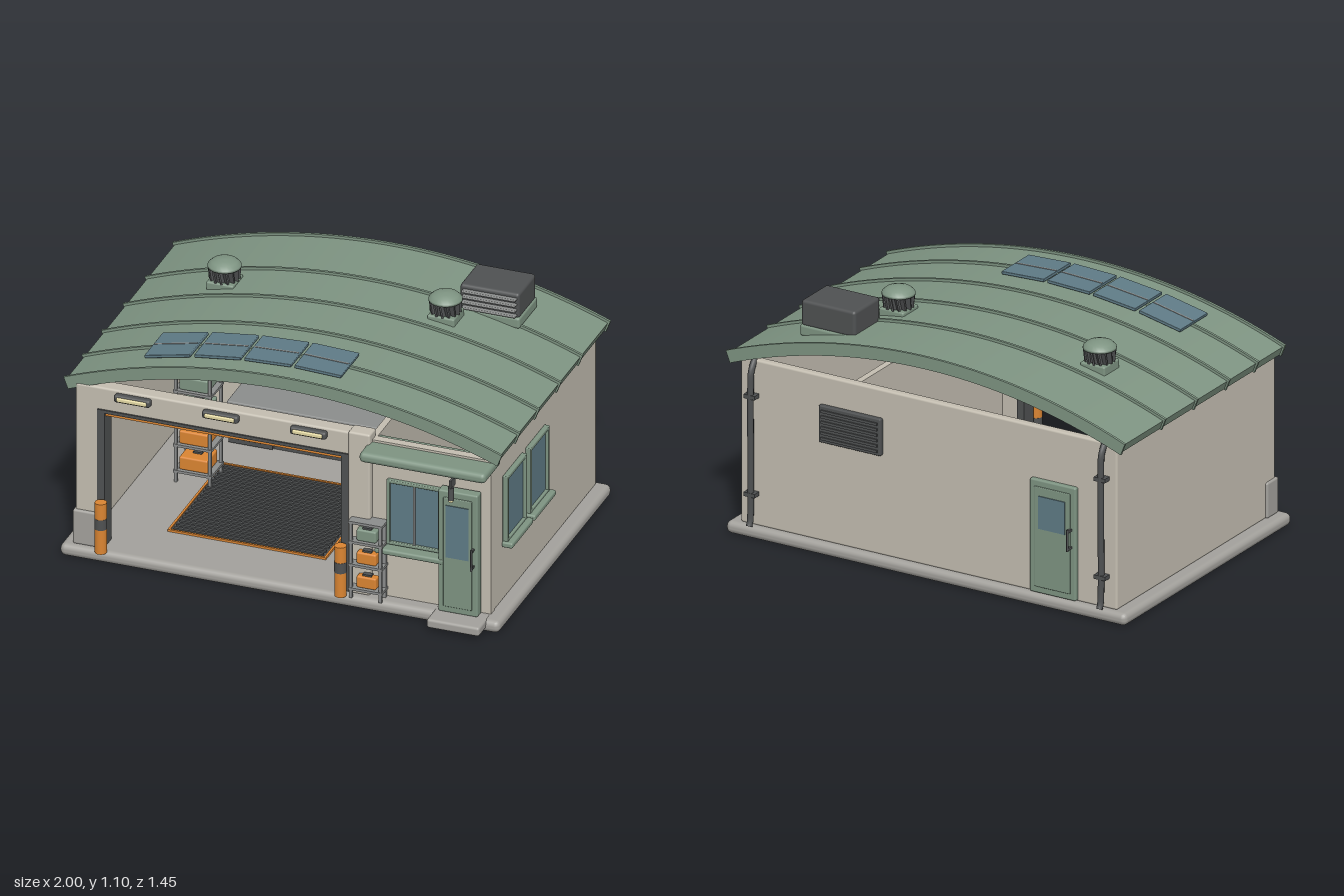
import * as THREE from 'three';
import { RoundedBoxGeometry } from 'three/addons/geometries/RoundedBoxGeometry.js';
import { toCreasedNormals } from 'three/addons/utils/BufferGeometryUtils.js';

const mat = (color) => new THREE.MeshStandardMaterial({ color });
const WALL = mat(0xc4beb1), GREEN = mat(0x7e9482), DARK = mat(0x4f5152), ORANGE = mat(0xdb8532),
  GLASS = mat(0x5f7b86), GREY = mat(0xa3a19c), STEEL = mat(0x8b8d8c), LAMP = mat(0xe6dba6);
const R = 2.74, TOP = 1.02;
const roofY = (x) => TOP - R + Math.sqrt(R * R - x * x);

export function createModel() {
  const root = new THREE.Group();
  const add = (name, geo, m, x = 0, y = 0, z = 0, parent = root) => {
    const o = new THREE.Mesh(geo, m);
    o.name = name;
    o.position.set(x, y, z);
    parent.add(o);
    return o;
  };
  const group = (name, x = 0, y = 0, z = 0) => {
    const g = new THREE.Group();
    g.name = name;
    g.position.set(x, y, z);
    root.add(g);
    return g;
  };
  // Box from its limits, rounded when r > 0
  const box = (name, m, x0, x1, y0, y1, z0, z1, r = 0, parent = root) => {
    const s = [x1 - x0, y1 - y0, z1 - z0];
    const geo = r ? new RoundedBoxGeometry(...s, 2, r) : new THREE.BoxGeometry(...s);
    return add(name, geo, m, (x0 + x1) / 2, (y0 + y1) / 2, (z0 + z1) / 2, parent);
  };
  const rod = (name, m, r, h, x, y, z, parent = root, n = 16) =>
    add(name, new THREE.CylinderGeometry(r, r, h, n), m, x, y, z, parent);

  // Base and walls
  box('baseSlab', GREY, -1, 1, 0.005, 0.062, -0.71, 0.64, 0.025);
  box('doorStep', GREY, 0.7, 0.94, 0.022, 0.065, 0.58, 0.72, 0.012);
  for (const s of [-1, 1]) {
    const [a, b] = s < 0 ? [-0.94, -0.9] : [0.9, 0.94];
    box('sideWall', WALL, a, b, 0.06, 0.81, -0.68, 0.57, 0.01);
  }
  box('backWall', WALL, -0.94, 0.94, 0.06, 0.82, -0.68, -0.64, 0.01);
  box('officePartition', WALL, 0.38, 0.41, 0.06, 0.8, -0.65, 0.57);

  // Garage front
  box('leftPier', WALL, -0.94, -0.83, 0.06, 0.83, 0.53, 0.6, 0.01);
  box('leftPierBase', GREY, -0.95, -0.83, 0.06, 0.225, 0.52, 0.612, 0.01);
  box('rightPier', WALL, 0.3, 0.4, 0.06, 0.835, 0.53, 0.605, 0.01);
  box('lintel', WALL, -0.94, 0.4, 0.72, 0.83, 0.53, 0.6, 0.01);
  for (const x of [-0.825, 0.285]) box('doorTrack', DARK, x - 0.017, x + 0.017, 0.06, 0.72, 0.52, 0.6);
  box('doorTrackHead', DARK, -0.84, 0.3, 0.71, 0.725, 0.53, 0.605);
  box('doorEdge', ORANGE, -0.81, 0.27, 0.692, 0.71, 0.54, 0.59);
  for (const x of [-0.675, -0.275, 0.125]) {
    box('lightHousing', DARK, x - 0.083, x + 0.083, 0.784, 0.82, 0.595, 0.63, 0.012);
    box('lightLens', LAMP, x - 0.068, x + 0.068, 0.792, 0.812, 0.62, 0.637, 0.006);
  }
  for (const x of [-0.81, 0.28]) {
    const g = group('bollard', x, 0.06, 0.64);
    rod('bollardPost', ORANGE, 0.026, 0.24, 0, 0.12, 0, g, 20);
    rod('bollardBand', DARK, 0.027, 0.05, 0, 0.14, 0, g, 20);
  }

  // Office front
  const wallShape = new THREE.Shape([[0.39, 0.06], [0.94, 0.06], [0.94, 0.8], [0.39, 0.8]].map((p) => new THREE.Vector2(...p)));
  wallShape.holes.push(new THREE.Path([[0.49, 0.34], [0.49, 0.61], [0.7, 0.61], [0.7, 0.34]].map((p) => new THREE.Vector2(...p))));
  add('officeFrontWall', new THREE.ExtrudeGeometry(wallShape, { depth: 0.04, bevelEnabled: false }), WALL, 0, 0, 0.535);
  box('canopy', GREEN, 0.38, 0.955, 0.742, 0.79, 0.49, 0.69, 0.02);

  // Framed pane in the local xy plane, facing +z
  const framed = (name, g, w, h, t = 0.02, bars = 0) => {
    box(name + 'Glass', GLASS, -w / 2 + 0.005, w / 2 - 0.005, -h / 2 + 0.005, h / 2 - 0.005, 0, 0.012, 0, g);
    for (const s of [-1, 1]) {
      const x = s * (w / 2 - t / 2), y = s * (h / 2 - t / 2);
      box(name + 'Stile', GREEN, x - t / 2, x + t / 2, -h / 2, h / 2, 0, 0.025, 0.004, g);
      box(name + 'Rail', GREEN, -w / 2, w / 2, y - t / 2, y + t / 2, 0, 0.024, 0.004, g);
    }
    for (let i = 1; i <= bars; i++) {
      const x = -w / 2 + (w * i) / (bars + 1);
      box(name + 'Mullion', STEEL, x - 0.005, x + 0.005, -h / 2 + t, h / 2 - t, 0, 0.02, 0, g);
    }
  };
  framed('officeWindow', group('officeWindow', 0.595, 0.475, 0.57), 0.25, 0.31, 0.015, 1);
  box('officeSill', GREEN, 0.43, 0.75, 0.288, 0.315, 0.57, 0.635, 0.01);
  for (const z of [0.325, 0.055]) {
    const g = group('sideWindow', 0.94, 0.5, z);
    g.rotation.y = Math.PI / 2;
    framed('sideWindow', g, 0.23, 0.32, 0.018);
    box('sideSill', GREEN, -0.127, 0.127, -0.178, -0.152, 0, 0.05, 0.008, g);
  }

  // Doors
  const door = (name, x, y, z, w, h, glassY, glassH, back) => {
    const g = group(name, x, y, z);
    if (back) g.rotation.y = Math.PI;
    box('doorLeaf', GREEN, -w / 2, w / 2, 0, h, -0.03, 0.02, 0.008, g);
    box('doorPanel', GREEN, -w / 2 + 0.025, w / 2 - 0.025, 0.03, h - 0.03, 0.01, 0.026, 0.004, g);
    box('doorGlass', GLASS, -w * 0.29, w * 0.29, glassY, glassY + glassH, 0.015, 0.03, 0, g);
    for (const dy of [0, 0.08]) box('handleMount', DARK, w * 0.37, w * 0.42, 0.24 + dy, 0.25 + dy, 0.02, 0.05, 0, g);
    rod('handleBar', DARK, 0.005, 0.1, w * 0.4, 0.285, 0.048, g, 8);
  };
  door('frontDoor', 0.81, 0.065, 0.612, 0.18, 0.585, 0.27, 0.25, false);
  door('backDoor', -0.63, 0.065, -0.68, 0.23, 0.52, 0.3, 0.15, true);
  rod('entryLamp', DARK, 0.013, 0.06, 0.805, 0.68, 0.7);
  rod('entryLampBulb', LAMP, 0.01, 0.012, 0.805, 0.647, 0.7);
  box('entryLampArm', DARK, 0.8, 0.81, 0.705, 0.745, 0.66, 0.71);

  // Curved roof and its raised seams
  const arch = (outer, inner, half, depth) => {
    const s = new THREE.Shape(), a = Math.asin(half / R);
    s.absarc(0, 0, outer, Math.PI / 2 - a, Math.PI / 2 + a, false);
    s.absarc(0, 0, inner, Math.PI / 2 + a, Math.PI / 2 - a, true);
    return toCreasedNormals(new THREE.ExtrudeGeometry(s, { depth, bevelEnabled: false, curveSegments: 32 }), 0.5);
  };
  add('roof', arch(R, R - 0.042, 0.985, 1.295), GREEN, 0, TOP - R, -0.705);
  for (const z of [0.59, 0.375, 0.143, -0.115, -0.375, -0.703])
    add('roofSeam', arch(R + 0.012, R - 0.045, 0.992, 0.012), GREEN, 0, TOP - R, z - 0.006);

  // Solar panels following the curve
  for (let i = 0; i < 4; i++) {
    const x = -0.565 + i * 0.228;
    const g = group('solarPanel', x, roofY(x) + 0.012, 0.38);
    g.rotation.z = -Math.asin(x / R);
    box('panelPlate', GLASS, -0.106, 0.106, -0.006, 0.008, -0.11, 0.11, 0.003, g);
    box('panelRib', STEEL, -0.1, 0.1, 0.006, 0.01, -0.004, 0.004, 0, g);
  }

  // Turbine vents
  for (const x of [-0.585, 0.42]) {
    const g = group('roofVent', x, roofY(x), -0.245);
    box('ventBase', GREEN, -0.062, 0.062, -0.03, 0.025, -0.062, 0.062, 0.008, g);
    rod('ventCore', DARK, 0.05, 0.06, 0, 0.053, 0, g, 20);
    for (let i = 0; i < 14; i++) {
      const a = (i / 14) * Math.PI * 2;
      const fin = add('ventFin', new THREE.BoxGeometry(0.008, 0.062, 0.024), DARK, Math.sin(a) * 0.057, 0.054, Math.cos(a) * 0.057, g);
      fin.rotation.set(0, a + 0.5, 0.2, 'YXZ');
    }
    const cap = [[0, 0.118], [0.03, 0.116], [0.056, 0.107], [0.072, 0.092], [0.073, 0.082], [0.06, 0.078], [0, 0.078]];
    add('ventCap', new THREE.LatheGeometry(cap.reverse().map((p) => new THREE.Vector2(...p)), 24), GREEN, 0, 0, 0, g);
  }

  // Rooftop cooling unit
  box('coolerPlinth', GREEN, 0.44, 0.715, 0.925, 0.978, -0.57, -0.352, 0.012);
  box('coolerBody', DARK, 0.44, 0.71, 0.97, 1.09, -0.565, -0.36, 0.014);
  for (let i = 0; i < 4; i++) box('coolerLouvre', STEEL, 0.455, 0.7, 0.982 + i * 0.026, 0.993 + i * 0.026, -0.365, -0.338, 0.004);

  // Rear louvre and downpipes
  box('rearVent', DARK, 0.23, 0.54, 0.52, 0.69, -0.7, -0.67, 0.006);
  for (let i = 0; i < 6; i++) box('rearVentSlat', DARK, 0.245, 0.525, 0.535 + i * 0.025, 0.547 + i * 0.025, -0.706, -0.69);
  for (const x of [-0.875, 0.875]) {
    const path = new THREE.CatmullRomCurve3([[0.82, -0.67], [0.77, -0.7], [0.7, -0.705], [0.12, -0.705], [0.08, -0.71], [0.065, -0.718]]
      .map(([y, z]) => new THREE.Vector3(x, y, z)), false, 'centripetal');
    add('downpipe', new THREE.TubeGeometry(path, 40, 0.014, 10), DARK);
    for (const y of [0.2, 0.65]) box('pipeBracket', DARK, x - 0.028, x + 0.028, y, y + 0.018, -0.718, -0.67);
  }

  // Inspection grating in the floor
  box('gratingBed', DARK, -0.6, 0.1, 0.055, 0.066, -0.27, 0.36);
  for (let i = 0; i < 18; i++) box('gratingBar', DARK, -0.59, 0.09, 0.062, 0.074, -0.258 + i * 0.035, -0.244 + i * 0.035);
  for (const x of [-0.61, 0.1]) box('gratingEdge', ORANGE, x, x + 0.01, 0.055, 0.072, -0.28, 0.37);
  for (const z of [-0.28, 0.36]) box('gratingEdge', ORANGE, -0.6, 0.1, 0.055, 0.072, z, z + 0.01);

  // Tool board with spanners
  box('toolBoard', DARK, -0.535, 0.195, 0.32, 0.555, -0.645, -0.62, 0.006);
  for (let i = 0; i < 8; i++) {
    const g = group('spanner', -0.465 + i * 0.085, 0.46, -0.612);
    box('spannerShaft', STEEL, -0.005, 0.005, -0.06, 0.04, -0.005, 0.005, 0, g);
    add('spannerJaw', new THREE.TorusGeometry(0.012, 0.005, 6, 14, 4.6), STEEL, 0, 0.05, 0, g).rotation.z = 2.4;
    add('spannerRing', new THREE.TorusGeometry(0.008, 0.004, 6, 14), STEEL, 0, -0.065, 0, g);
  }

  // Workbench with drawers
  box('benchTop', STEEL, -0.65, 0.25, 0.25, 0.278, -0.64, -0.44, 0.006);
  box('benchRail', DARK, -0.64, 0.24, 0.065, 0.085, -0.62, -0.48);
  for (const x of [-0.55, 0.14]) {
    box('drawerCabinet', DARK, x - 0.1, x + 0.1, 0.07, 0.25, -0.63, -0.46);
    for (let i = 0; i < 3; i++) {
      const y = 0.095 + i * 0.052;
      box('drawer', GREEN, x - 0.09, x + 0.09, y, y + 0.044, -0.47, -0.447, 0.004);
      box('drawerPull', DARK, x - 0.035, x + 0.035, y + 0.026, y + 0.033, -0.45, -0.437);
    }
  }

  // Storage racks
  const rack = (name, x, z, w, d, h, levels, bw, bh) => {
    const g = group(name, x, 0.06, z);
    for (const sx of [-1, 1]) for (const sz of [-1, 1])
      box('rackPost', STEEL, sx * w / 2 - 0.007, sx * w / 2 + 0.007, 0, h, sz * d / 2 - 0.007, sz * d / 2 + 0.007, 0, g);
    for (const [y, m] of levels) {
      box('rackShelf', STEEL, -w / 2 - 0.01, w / 2 + 0.01, y - 0.012, y, -d / 2 - 0.01, d / 2 + 0.01, 0, g);
      if (!m) continue;
      box('crate', m, -bw / 2, bw / 2, y, y + bh, -d / 2 + 0.005, d / 2 - 0.002, 0.008, g);
      box('crateLatch', DARK, -0.02, 0.02, y + bh - 0.005, y + bh + 0.008, -0.012, 0.012, 0, g);
    }
  };
  rack('garageRack', -0.66, -0.13, 0.155, 0.13, 0.52, [[0.06, ORANGE], [0.185, ORANGE], [0.315, GREEN], [0.445, GREEN]], 0.13, 0.062);
  rack('frontRack', 0.395, 0.615, 0.135, 0.05, 0.37, [[0.05, ORANGE], [0.165, ORANGE], [0.275, GREEN], [0.37, null]], 0.09, 0.055);

  return root;
}
